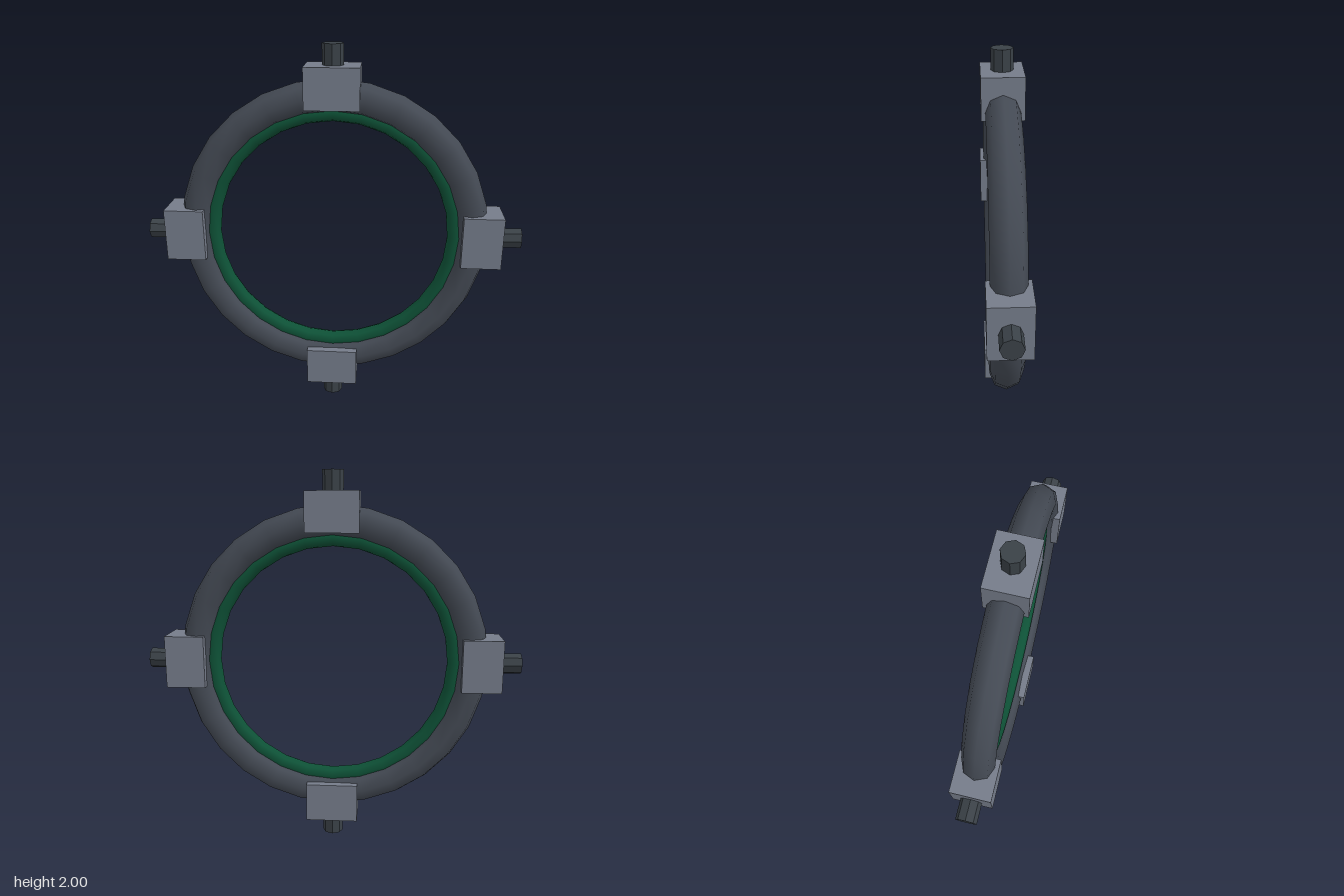
import * as THREE from 'three';

const paint = (color, flatShading = false) => {
  const m = new THREE.MeshStandardMaterial({ flatShading });
  m.color.set(color);
  return m;
};

export function createModel() {
  const model = new THREE.Group();
  model.name = 'ringGate';

  const ringMat = paint(0x444a54);
  const glowMat = paint(0x0e5237);
  const blockMat = paint(0x757c8a, true);
  const pinMat = paint(0x3a4147, true);

  const add = (parent, name, geometry, material, y) => {
    const mesh = new THREE.Mesh(geometry, material);
    mesh.name = name;
    mesh.position.y = y;
    parent.add(mesh);
  };

  // Heavy outer ring and the thin green ring lining its inside
  add(model, 'outerRing', new THREE.TorusGeometry(0.743, 0.085, 8, 28), ringMat, 1);
  add(model, 'innerRing', new THREE.TorusGeometry(0.657, 0.043, 8, 28), glowMat, 1);

  // Four clamps, each a block with an outward pin, at the quarter points
  const blockGeo = new THREE.BoxGeometry(0.28, 0.21, 0.21);
  const pinGeo = new THREE.CylinderGeometry(0.055, 0.055, 0.17, 8);
  ['top', 'left', 'bottom', 'right'].forEach((side, i) => {
    const clamp = new THREE.Group();
    clamp.name = side + 'Clamp';
    clamp.position.y = 1;
    clamp.rotation.z = -i * Math.PI / 2;
    add(clamp, 'clampBlock', blockGeo, blockMat, 0.79);
    add(clamp, 'clampPin', pinGeo, pinMat, 0.915);
    model.add(clamp);
  });

  return model;
}
